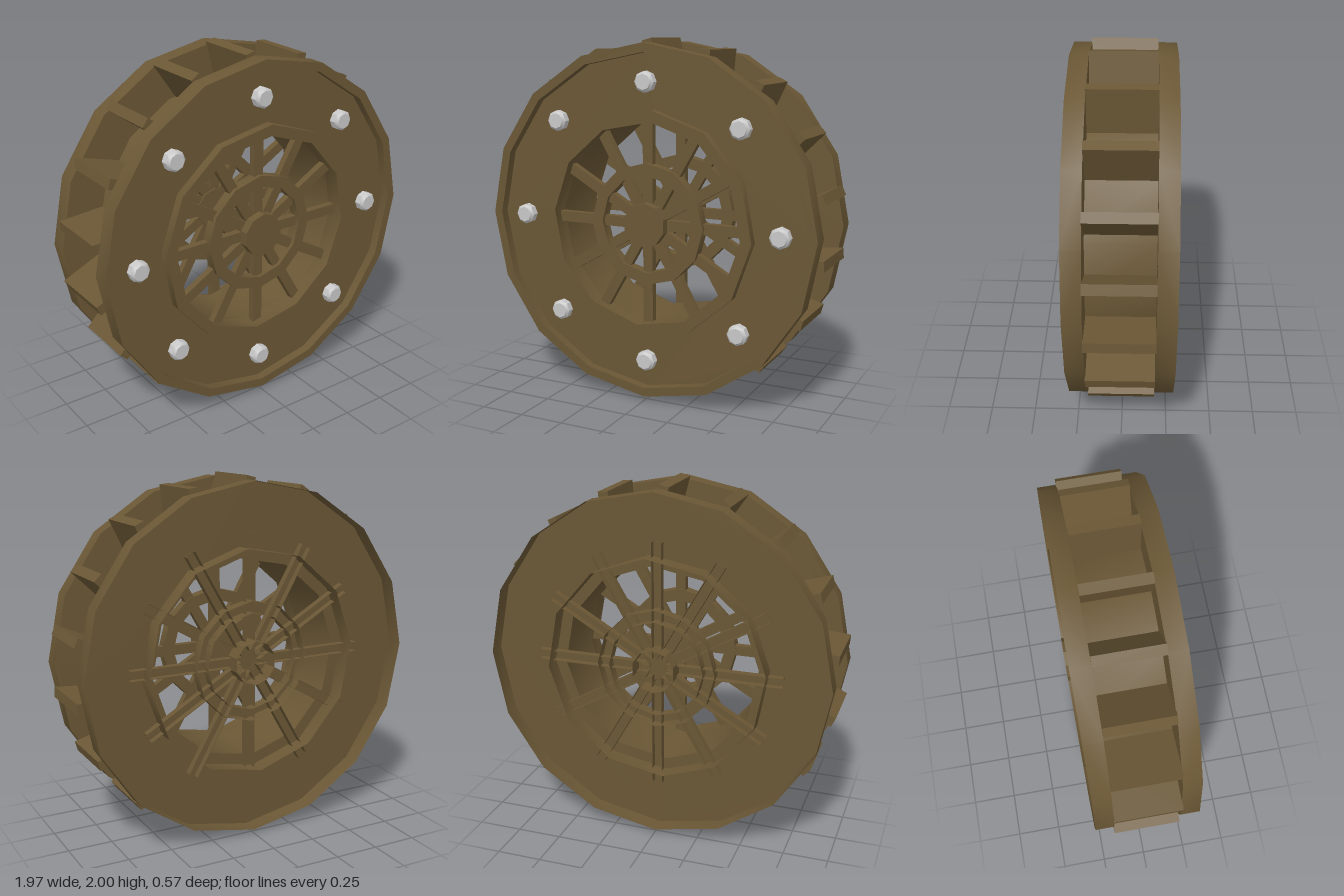
import * as THREE from 'three';
import { toCreasedNormals } from 'three/addons/utils/BufferGeometryUtils.js';

const wood = new THREE.MeshStandardMaterial({ color: 0x6a5735, side: THREE.DoubleSide });
wood.name = 'brown wood';
const steel = new THREE.MeshStandardMaterial({ color: 0xc8c8c8 });
steel.name = 'grey steel';

const DEG = Math.PI / 180;
const TILT = -4.3 * DEG; // twist of the twelve-sided opening

function polygon([r, n, turn]) {
  const pts = [];
  for (let i = 0; i < n; i++) {
    const a = Math.PI / 2 + turn + (i / n) * Math.PI * 2;
    pts.push(new THREE.Vector2(r * Math.cos(a), r * Math.sin(a)));
  }
  return pts;
}

function outline(outer, inner) {
  const shape = new THREE.Shape(polygon(outer));
  if (inner) shape.holes.push(new THREE.Path(polygon(inner)));
  return shape;
}

function part(name, geo, material = wood) {
  const mesh = new THREE.Mesh(toCreasedNormals(geo, 35 * DEG), material);
  mesh.name = name;
  return mesh;
}

// Solid polygonal plate from z0 to z1
function plate(outer, inner, z0, z1) {
  return new THREE.ExtrudeGeometry(outline(outer, inner), { depth: z1 - z0, bevelEnabled: false })
    .translate(0, 0, z0);
}

// Flat polygonal sheet at z
function sheet(outer, inner, z) {
  return new THREE.ShapeGeometry(outline(outer, inner)).translate(0, 0, z);
}

// Open polygonal wall from z0 to z1
function wall([r, n, turn], z0, z1) {
  return new THREE.CylinderGeometry(r, r, z1 - z0, n, 1, true)
    .rotateX(Math.PI / 2).rotateZ(turn).translate(0, 0, (z0 + z1) / 2);
}

// Box reaching outward along the given angle, offset sideways if wanted
function radialBox(angle, r0, r1, width, z0, z1, offset = 0) {
  return new THREE.BoxGeometry(r1 - r0, width, z1 - z0)
    .translate((r0 + r1) / 2, offset, (z0 + z1) / 2)
    .rotateZ(angle);
}

// Front: recessed face, raised rim and lip, solid hub and spokes
function createFront() {
  const side = new THREE.Group();
  side.name = 'frontSide';
  side.add(
    part('frontFace', plate([0.95, 16, 0], [0.59, 12, TILT], 0.18, 0.23)),
    part('frontRim', plate([0.975, 16, 0], [0.925, 16, 0], 0.18, 0.282)),
    part('frontLip', plate([0.625, 12, TILT], [0.562, 12, TILT], 0.18, 0.282)),
    part('frontHub', plate([0.122, 10, 0], null, 0.18, 0.278)),
    part('frontSpokeRing', plate([0.337, 12, 0], [0.27, 12, 0], 0.185, 0.25)));
  for (let i = 0; i < 12; i++) {
    side.add(part('frontSpoke', radialBox(i * 30 * DEG, 0.05, 0.6, 0.058, 0.188, 0.228)));
  }
  return side;
}

// Back: thin shell with hub, ring and spokes as channels open to the back
function createBack() {
  const side = new THREE.Group();
  side.name = 'backSide';
  side.add(
    part('backFace', sheet([0.975, 16, 0], [0.562, 12, TILT], -0.184)),
    part('backRim', wall([0.975, 16, 0], -0.282, -0.18)),
    part('backLip', wall([0.625, 12, TILT], -0.282, -0.184)),
    part('backHubFloor', sheet([0.122, 10, 0], null, -0.182)),
    part('backHubWall', wall([0.122, 10, 0], -0.29, -0.18)),
    part('backRingFloor', sheet([0.337, 12, 0], [0.27, 12, 0], -0.186)),
    part('backRingOuterWall', wall([0.337, 12, 0], -0.25, -0.186)),
    part('backRingInnerWall', wall([0.27, 12, 0], -0.25, -0.186)));
  for (let i = 0; i < 12; i++) {
    const a = i * 30 * DEG;
    side.add(part('backSpokeFloor', radialBox(a, 0.05, 0.7, 0.058, -0.191, -0.188)));
    for (const s of [-1, 1]) {
      side.add(part('backSpokeWall', radialBox(a, 0.05, 0.7, 0.003, -0.228, -0.188, s * 0.0275)));
    }
  }
  return side;
}

export function createModel() {
  const wheel = new THREE.Group();
  wheel.name = 'wheel';
  wheel.position.y = 1.002;
  wheel.add(createFront(), createBack());

  // Drum between the two sides
  wheel.add(part('drum', plate([0.765, 16, 0], [0.562, 12, TILT], -0.18, 0.18)));

  // Paddles around the drum, each leaning about its tip
  for (let i = 0; i < 18; i++) {
    const a = (91.6 + i * 20) * DEG;
    const paddle = part('paddle', radialBox(a + 13 * DEG, -0.29, 0, 0.056, -0.18, 0.182));
    paddle.position.set(0.991 * Math.cos(a), 0.991 * Math.sin(a), 0);
    wheel.add(paddle);
  }

  // Bolts on the front face
  const head = new THREE.CylinderGeometry(0.043, 0.057, 0.015, 8).rotateX(Math.PI / 2).translate(0, 0, 0.2765);
  const shank = new THREE.CylinderGeometry(0.057, 0.057, 0.069, 8).rotateX(Math.PI / 2).translate(0, 0, 0.2345);
  for (let i = 0; i < 8; i++) {
    const bolt = new THREE.Group();
    bolt.name = 'bolt';
    bolt.add(part('boltHead', head, steel), part('boltShank', shank, steel));
    const a = i * 45 * DEG;
    bolt.position.set(0.77 * Math.cos(a), 0.77 * Math.sin(a), 0);
    wheel.add(bolt);
  }

  const model = new THREE.Group();
  model.name = 'paddleWheel';
  model.add(wheel);
  return model;
}
